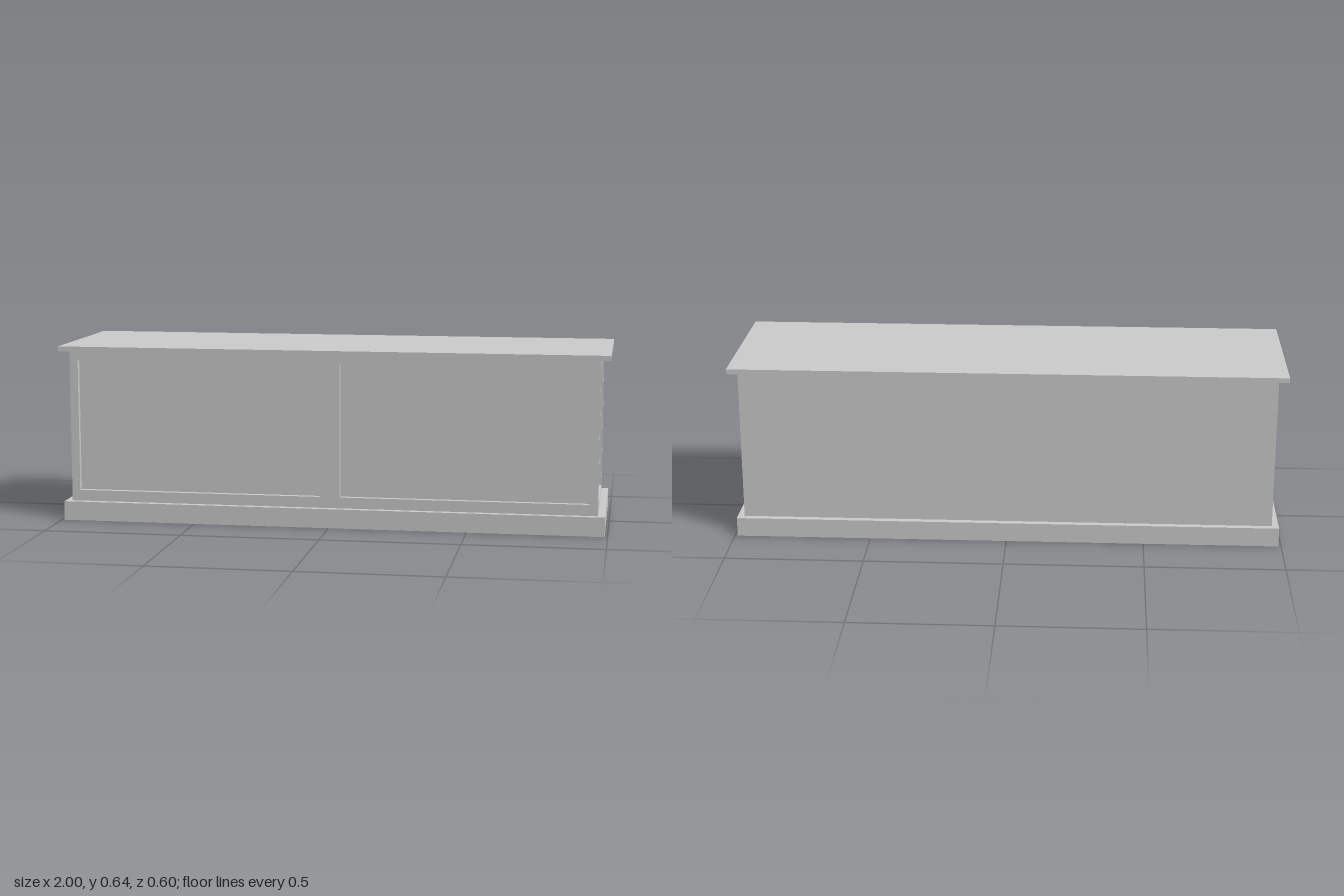
import * as THREE from 'three';

const material = new THREE.MeshStandardMaterial({ color: 0xcccccc });
const RECESS = 0.02;
const BODY = { x: 0.965, z: 0.271, bottom: 0.07, top: 0.627 };

function rectPath(path, x0, x1, y0, y1) {
  path.moveTo(x0, y0);
  path.lineTo(x1, y0);
  path.lineTo(x1, y1);
  path.lineTo(x0, y1);
  path.closePath();
  return path;
}

// Flat frame with rectangular openings, extruded along +z
function frame(name, halfWidth, openings) {
  const shape = rectPath(new THREE.Shape(), -halfWidth, halfWidth, BODY.bottom, BODY.top);
  for (const o of openings) shape.holes.push(rectPath(new THREE.Path(), ...o));
  const geometry = new THREE.ExtrudeGeometry(shape, { depth: RECESS, bevelEnabled: false });
  const mesh = new THREE.Mesh(geometry, material);
  mesh.name = name;
  return mesh;
}

// Box spanning y0 to y1 and z0 to z1, centred on x
function slab(name, halfX, y0, y1, z0, z1) {
  const mesh = new THREE.Mesh(new THREE.BoxGeometry(halfX * 2, y1 - y0, z1 - z0), material);
  mesh.position.set(0, (y0 + y1) / 2, (z0 + z1) / 2);
  mesh.name = name;
  return mesh;
}

export function createModel() {
  const chest = new THREE.Group();
  chest.name = 'panelledChest';

  // Plinth, inner carcass (its faces are the recessed panels) and lid
  chest.add(slab('plinth', 0.99, 0, BODY.bottom, -0.294, 0.294));
  chest.add(slab('carcass', BODY.x - RECESS, BODY.bottom, BODY.top, -BODY.z, BODY.z - RECESS));
  chest.add(slab('lid', 1, BODY.top, 0.645, -0.298, 0.298));

  // Front frame with two openings
  const front = frame('frontFrame', BODY.x - RECESS, [
    [-0.935, -0.037, 0.11, 0.595],
    [0.037, 0.932, 0.11, 0.592],
  ]);
  front.position.z = BODY.z - RECESS;
  chest.add(front);

  // End frames, one opening each
  for (const side of [1, -1]) {
    const end = frame(side > 0 ? 'leftEndFrame' : 'rightEndFrame', BODY.z, [[-0.25, 0.25, 0.09, 0.605]]);
    end.rotation.y = (side * Math.PI) / 2;
    end.position.x = side * (BODY.x - RECESS);
    chest.add(end);
  }
  return chest;
}
